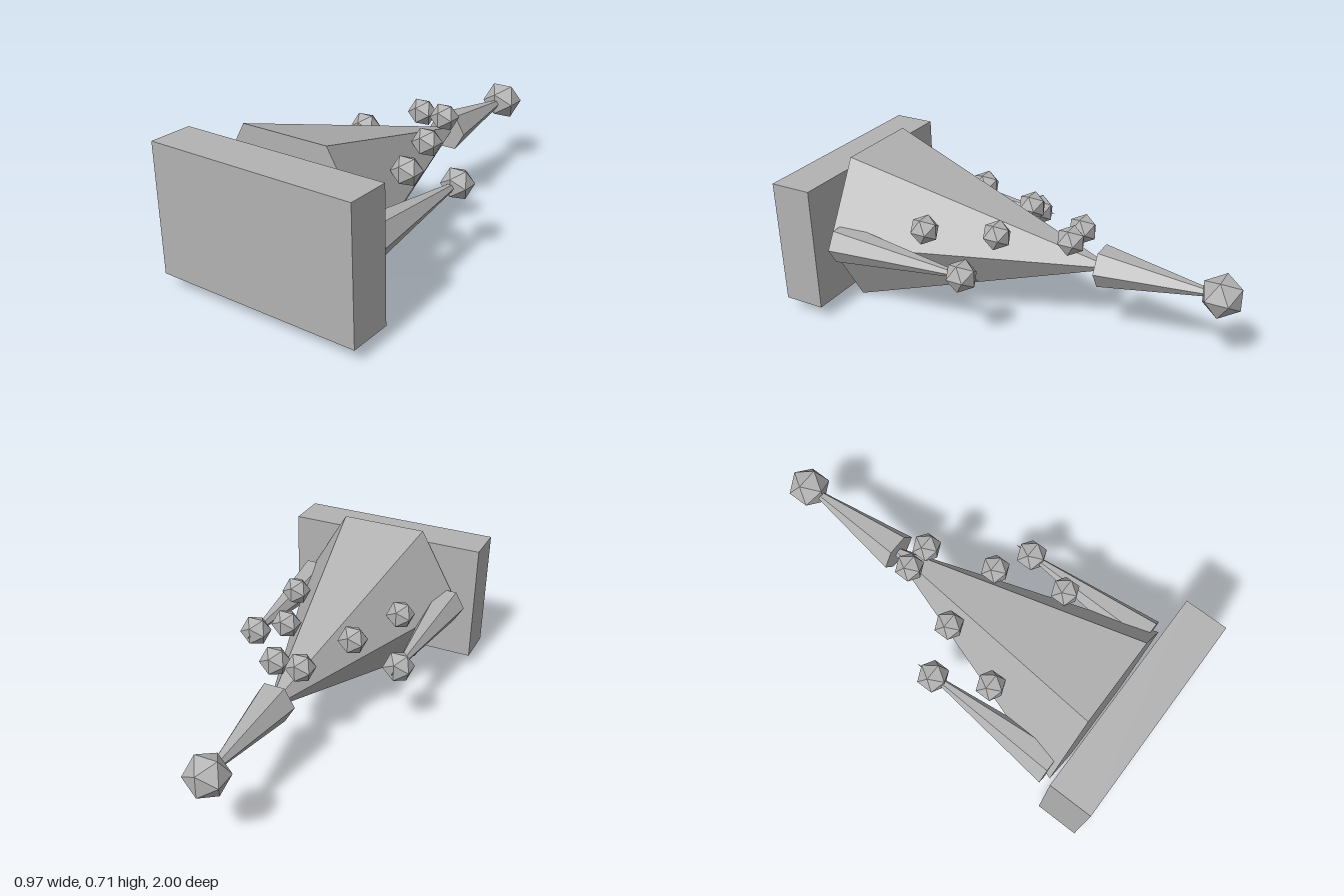
import * as THREE from 'three';

const AXIS_Y = 0.36; // height of the long centre line

export function createModel() {
  const model = new THREE.Group();
  model.name = 'spiredModel';

  const grey = new THREE.MeshStandardMaterial({ color: 0xb2b2b2 });
  grey.name = 'grey';

  const add = (name, geometry, x, y, z) => {
    const mesh = new THREE.Mesh(geometry, grey);
    mesh.name = name;
    mesh.position.set(x, y, z);
    model.add(mesh);
    return mesh;
  };

  // Six-sided spike from its base towards the back, corners on the left and right
  const spike = (name, radius, baseZ, tipZ, x) => {
    const length = baseZ - tipZ;
    const geometry = new THREE.ConeGeometry(radius, length, 6).toNonIndexed();
    geometry.rotateY(Math.PI / 2).rotateX(-Math.PI / 2);
    geometry.computeVertexNormals(); // flat facets
    add(name, geometry, x, AXIS_Y, (baseZ + tipZ) / 2);
  };

  const bead = (name, radius, x, y, z) =>
    add(name, new THREE.IcosahedronGeometry(radius, 0), x, y, z);

  // Front slab
  add('frontSlab', new THREE.BoxGeometry(0.97, 0.583, 0.195), 0, 0.3585, 0.9025);

  // Main spire and the smaller spike behind it
  spike('mainSpire', 0.41, 0.78, -0.44, 0);
  spike('backSpike', 0.095, -0.375, -0.97, 0);
  bead('backSpikeBead', 0.097, 0, AXIS_Y, -0.917);

  // Paired side spikes and the beads along the spire
  for (const [side, s] of [['left', 1], ['right', -1]]) {
    spike(side + 'SideSpike', 0.09, 0.755, 0.025, s * 0.361);
    bead(side + 'SideSpikeBead', 0.074, s * 0.363, AXIS_Y, 0.115);
    for (let i = 0; i < 3; i++) {
      bead(side + 'SpireBead' + (i + 1), 0.068, s * (0.269 - i * 0.104), 0.481, 0.356 - i * 0.305);
    }
  }

  return model;
}
